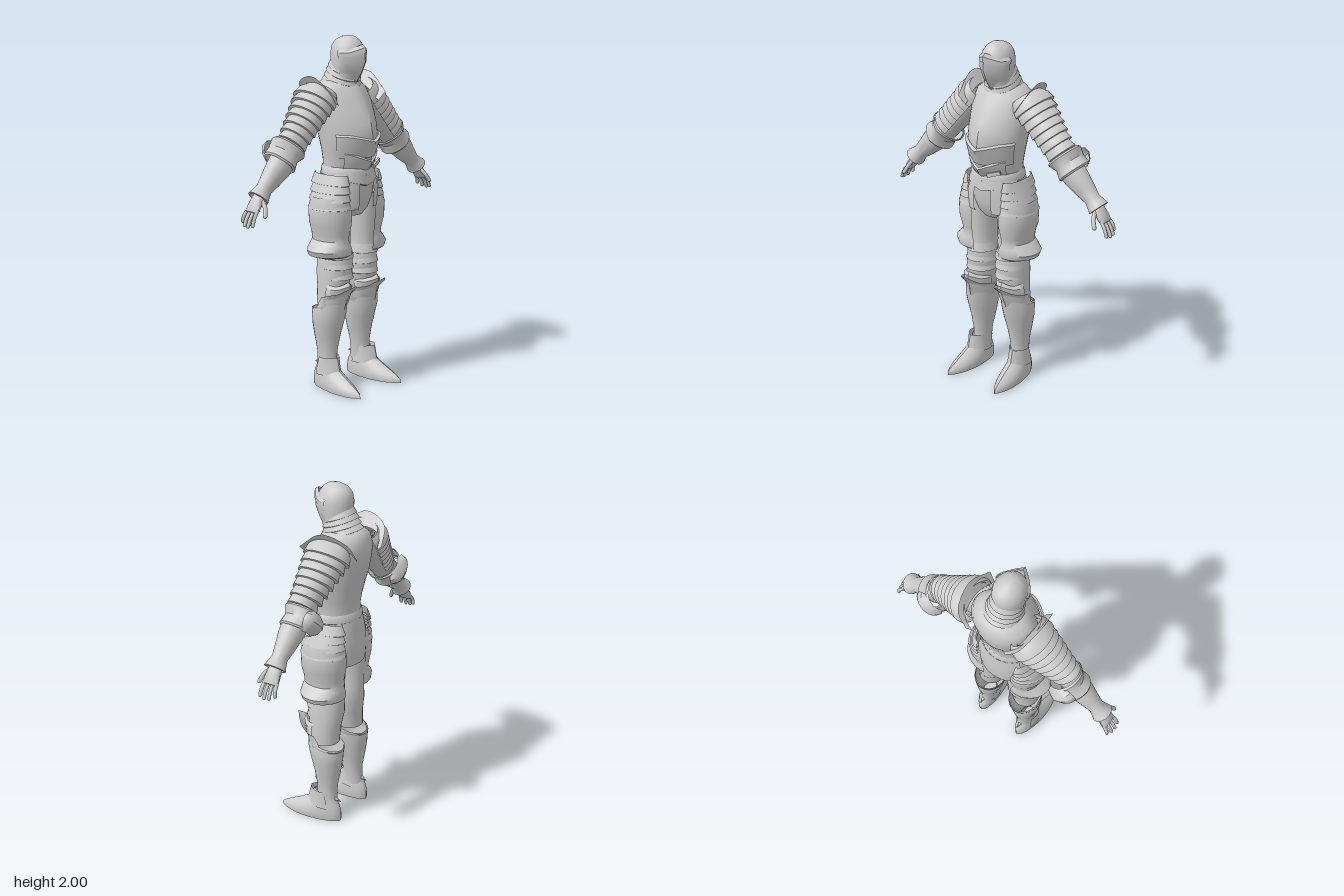
import * as THREE from 'three';
import { toCreasedNormals } from 'three/addons/utils/BufferGeometryUtils.js';

const steel = new THREE.MeshStandardMaterial({ color: 0xcccccc, side: THREE.DoubleSide });
steel.name = 'plainSteel';
const D = Math.PI / 180;

// Quad grid from rows of points
function grid(rows) {
  const n = rows[0].length, index = [];
  for (let i = 0; i < rows.length - 1; i++) for (let j = 0; j < n - 1; j++) {
    const a = i * n + j, b = a + n;
    index.push(a, b, a + 1, a + 1, b, b + 1);
  }
  const g = new THREE.BufferGeometry();
  g.setAttribute('position', new THREE.Float32BufferAttribute(rows.flat(2), 3));
  g.setIndex(index);
  return toCreasedNormals(g, 0.65);
}

function add(parent, name, geometry) {
  const m = new THREE.Mesh(geometry, steel);
  m.name = name;
  parent.add(m);
  return m;
}

// Plate from level rings, listed top to bottom: [y, halfWidth, zFront, zBack, centreX, tilt, frontPeak]
// ridge sharpens the front into a keel; from/to limit the arc in degrees (0 = +x, 90 = front)
function plate(parent, name, rings, { ridge = 0, from = 0, to = 360, seg = 24 } = {}) {
  const rows = rings.map(([y, rx, zf, zb, cx = 0, tilt = 0, peak = 0]) => {
    const row = [];
    for (let j = 0; j <= seg; j++) {
      const t = (to + (from - to) * j / seg) * D, c = Math.cos(t), s = Math.sin(t);
      const keel = s > 0 ? s * (1 - ridge) + (1 - Math.abs(c)) * ridge : s;
      const rise = s > 0 ? peak * Math.max(0, 1 - 1.4 * Math.abs(c)) : 0;
      row.push([cx + rx * c, y + tilt * s + rise, (zf + zb) / 2 + keel * (zf - zb) / 2]);
    }
    return row;
  });
  return add(parent, name, grid(rows));
}

// Curved strip between two smooth edges
function ribbon(parent, name, low, high, n = 14) {
  const curve = p => new THREE.CatmullRomCurve3(p.map(q => new THREE.Vector3(...q))).getPoints(n).map(v => v.toArray());
  return add(parent, name, grid([curve(high), curve(low)]));
}

function buildHead(g) {
  plate(g, 'helmetSkull', [[2, 0, -.02, -.02], [1.993, .03, .02, -.06], [1.975, .058, .045, -.1], [1.945, .08, .066, -.12],
    [1.9, .091, .08, -.128], [1.83, .087, .065, -.122], [1.76, .08, .04, -.115], [1.7, .08, .02, -.12]]);
  const front = { ridge: .55, from: -5, to: 185, seg: 20 };
  plate(g, 'visor', [[1.9, .096, .103, -.1, 0, 0, .015], [1.86, .093, .105, -.1], [1.8, .08, .078, -.09], [1.76, .06, .05, -.08], [1.725, .03, .03, -.04]], front);
  plate(g, 'browPlate', [[1.925, .09, .085, -.11, 0, 0, .03], [1.91, .099, .108, -.115, 0, 0, .03], [1.89, .098, .112, -.115, 0, 0, .02]], front);
  for (let i = 0; i < 4; i++) {
    const y = 1.73 + i * .027, r = .108 - i * .006;
    plate(g, 'neckLame', [[y + .032, r - .014, .032, -.15 + i * .008, 0, -.03], [y, r, .042, -.185 + i * .014, 0, -.035], [y - .008, r - .01, .03, -.17 + i * .014, 0, -.035]]);
  }
}

function buildTorso(g) {
  plate(g, 'cuirass', [[1.765, .07, 0, -.15], [1.745, .12, .03, -.19], [1.71, .165, .055, -.213], [1.65, .185, .088, -.225], [1.58, .18, .128, -.22],
    [1.52, .175, .152, -.21], [1.45, .17, .165, -.19], [1.37, .157, .145, -.17], [1.31, .146, .12, -.16], [1.26, .145, .105, -.16]], { ridge: .3, seg: 32 });
  plate(g, 'breastLowerPlate', [[1.47, .165, .17, -.17, 0, 0, -.03], [1.46, .172, .188, -.17, 0, 0, -.03], [1.4, .163, .172, -.16], [1.34, .152, .145, -.15]],
    { ridge: .3, from: 15, to: 165 });
  plate(g, 'bellyChevronPlate', [[1.37, .154, .15, -.15, 0, 0, -.045], [1.36, .158, .16, -.15, 0, 0, -.045], [1.31, .152, .145, -.15, 0, 0, -.02], [1.26, .148, .115, -.15]],
    { ridge: .3, from: 35, to: 145 });
  plate(g, 'belt', [[1.285, .147, .11, -.163], [1.27, .156, .12, -.17], [1.24, .158, .122, -.172], [1.23, .15, .11, -.165]]);
  const strap = add(g, 'beltStrap', new THREE.BoxGeometry(.08, .022, .012));
  strap.position.set(.08, 1.295, .118);
  strap.rotation.set(0, .35, .3);
}

function buildHips(g) {
  plate(g, 'pelvis', [[1.26, .148, .1, -.16], [1.18, .17, .1, -.17], [1.1, .175, .09, -.165], [1.04, .15, .075, -.155], [1, .09, .05, -.12], [.985, 0, -.03, -.03]]);
  plate(g, 'frontFauld', [[1.25, .155, .12, -.165], [1.21, .168, .127, -.17, 0, 0, -.03], [1.205, .165, .11, -.17, 0, 0, -.03]], { from: 10, to: 170 });
  for (const a of [48, 108]) plate(g, 'frontStrip', [[1.24, .16, .118, -.165], [1.15, .185, .127, -.165], [1.05, .19, .122, -.165], [1.045, .18, .105, -.165]], { from: a, to: a + 24, seg: 5 });
  plate(g, 'rumpPlate', [[1.24, .155, .1, -.172], [1.14, .178, .1, -.186], [1.05, .178, .1, -.19], [.98, .17, .1, -.187], [.978, .16, .1, -.17]], { from: 215, to: 325, seg: 14 });
}

function buildLeg(g) {
  plate(g, 'thigh', [[1.12, .085, .075, -.155, .105], [1, .088, .075, -.155, .108], [.88, .085, .07, -.145, .108], [.8, .08, .07, -.14, .102],
    [.76, .088, .078, -.142, .102], [.68, .092, .078, -.14, .105], [.6, .088, .06, -.125, .115], [.5, .08, .045, -.12, .125]]);
  // Overlapping thigh bands
  for (let i = 0; i < 3; i++) plate(g, 'thighBand', [[.82 - i * .06, .082, .072, -.13, .103], [.77 - i * .06, .092, .086, -.13, .103], [.765 - i * .06, .084, .07, -.13, .103]], { from: -20, to: 200, seg: 16 });
  // Hip lames
  for (let i = 0; i < 4; i++) {
    const y = 1.215 - i * .045, r = .062 + i * .016;
    plate(g, 'hipLame', [[y + .03, r - .018, .09, -.15, .13], [y - .025, r + .006, .104, -.172, .13], [y - .032, r - .008, .09, -.16, .13]], { from: -95, to: 100, seg: 16 });
  }
  // Thigh guard with flared lower lobe
  plate(g, 'thighGuard', [[1.12, .098, .092, -.155, .13], [1.05, .116, .102, -.168, .13], [.97, .112, .1, -.165, .13], [.91, .092, .088, -.155, .13], [.875, .09, .083, -.15, .13],
    [.85, .118, .09, -.155, .13], [.82, .145, .095, -.16, .13], [.79, .132, .09, -.157, .13], [.782, .11, .08, -.148, .13]], { from: -105, to: 108, seg: 20 });
  plate(g, 'greave', [[.5, .092, .07, -.148, .125, .035], [.45, .095, .062, -.152, .131], [.38, .088, .042, -.147, .132], [.3, .07, .022, -.137, .134],
    [.22, .054, .008, -.122, .136], [.16, .05, .005, -.12, .138], [.1, .05, .02, -.125, .14]], { ridge: .15 });
  plate(g, 'kneeCap', [[.625, .075, .09, -.1, .118, -.015, .03], [.6, .09, .105, -.1, .118, 0, .02], [.55, .093, .09, -.1, .12], [.5, .09, .07, -.1, .122]],
    { ridge: .35, from: 0, to: 180, seg: 16 });
  plate(g, 'kneeSpike', [[.56, .1, .15, -.14, .12, .03, .04], [.52, .096, .09, -.145, .122, .025, .015], [.47, .096, .068, -.15, .128, .01]], { ridge: .45, from: -10, to: 190, seg: 18 });
  plate(g, 'greaveCollar', [[.49, .099, .08, -.157, .126, .03], [.47, .092, .06, -.148, .127, .02]], { from: 165, to: 375, seg: 16 });
  const foot = new THREE.Group();
  foot.name = 'foot';
  foot.position.set(.148, 0, -.05);
  foot.rotation.y = .09;
  g.add(foot);
  plate(foot, 'shoe', [[.18, .042, .065, -.06], [.12, .047, .1, -.075], [.095, .054, .145, -.09], [.065, .06, .205, -.1], [.04, .064, .255, -.104], [.02, .064, .282, -.105],
    [0, .06, .285, -.105], [0, 0, .08, .08]], { ridge: .3 });
  plate(foot, 'ankleGuard', [[.188, .054, .09, -.05, 0, .004], [.13, .058, .105, -.075], [.085, .064, .115, -.085, 0, .01, -.02]], { ridge: .3, from: -30, to: 210 });
  const spur = add(foot, 'heelSpur', new THREE.ConeGeometry(.014, .05, 6));
  spur.position.set(0, .13, -.085);
  spur.rotation.x = -1.9;
}

function buildArm(g) {
  const arm = new THREE.Group();
  arm.name = 'arm';
  arm.position.set(.2, 1.64, -.07);
  arm.rotation.z = .74;
  g.add(arm);
  plate(arm, 'upperArm', [[.06, .06, .08, -.1], [0, .085, .095, -.12], [-.08, .09, .088, -.1], [-.2, .083, .07, -.075], [-.34, .075, .062, -.065]]);
  // Shoulder and upper arm lames
  for (let i = 0; i < 7; i++) {
    const y = .045 - i * .048, f = i / 6, r = .106 - f * .016, zf = .108 - f * .032, zb = -.155 + f * .078;
    plate(arm, i < 3 ? 'shoulderLame' : 'armLame', [[y + .035, r - .03, zf - .02, zb + .03], [y, r - .004, zf - .003, zb + .005], [y - .045, r + .006, zf + .003, zb - .004], [y - .05, r - .012, zf - .015, zb + .015]],
      { from: -125, to: 118, seg: 18 });
  }
  // Collar fin on the shoulder
  ribbon(g, 'shoulderFin', [[.1, 1.62, -.225], [.155, 1.69, -.2], [.175, 1.71, -.08], [.16, 1.63, .06]],
    [[.125, 1.64, -.24], [.19, 1.74, -.215], [.222, 1.785, -.08], [.2, 1.68, .075]]);
  plate(arm, 'elbowGuard', [[-.295, .1, .088, -.105], [-.305, .105, .092, -.115], [-.35, .085, .075, -.115], [-.4, .098, .085, -.11], [-.41, .09, .075, -.1]], { ridge: .2 });
  plate(arm, 'elbowCup', [[-.3, .05, -.06, -.115], [-.325, .085, -.04, -.138], [-.355, .09, -.03, -.146], [-.39, .075, -.04, -.13], [-.415, .04, -.06, -.1]], { from: 180, to: 360, seg: 12 });
  plate(arm, 'forearm', [[-.37, .075, .068, -.072], [-.44, .072, .066, -.066, .002], [-.52, .058, .052, -.052, .008], [-.58, .045, .042, -.042, .014],
    [-.61, .05, .052, -.05, .016], [-.64, .058, .062, -.06, .018], [-.642, .045, .05, -.05, .018]]);
  plate(arm, 'palm', [[-.6, .03, .035, -.035, .015], [-.65, .028, .04, -.042, .013], [-.7, .024, .046, -.048, .008], [-.725, .017, .042, -.048, .003], [-.73, 0, 0, 0, .003]], { seg: 14 });
  // Fingers, each a bent pair of links, and the thumb
  const finger = (name, pts, r) => add(arm, name, new THREE.TubeGeometry(new THREE.CatmullRomCurve3(pts.map(p => new THREE.Vector3(...p))), 5, r, 6)) &&
    add(arm, name + 'Tip', new THREE.SphereGeometry(r, 6, 4)).position.set(...pts[pts.length - 1]);
  for (let i = 0; i < 4; i++) {
    const z = .034 - i * .024, end = [-.79, -.8, -.795, -.775][i];
    finger('finger', [[.006, -.71, z], [.002, -.755, z * 1.15], [-.012, end, z * 1.2]], .0105);
  }
  finger('thumb', [[.008, -.645, .03], [-.006, -.68, .065], [-.018, -.72, .082]], .012);
}

export function createModel() {
  const model = new THREE.Group();
  model.name = 'armouredFigure';
  const part = (name, build) => {
    const g = new THREE.Group();
    g.name = name;
    build(g);
    model.add(g);
    return g;
  };
  part('head', buildHead);
  part('torso', buildTorso);
  part('hips', buildHips);
  for (const [side, sign] of [['left', 1], ['right', -1]]) {
    part(side + 'Leg', buildLeg).scale.x = sign;
    part(side + 'Arm', buildArm).scale.x = sign;
  }
  return model;
}
